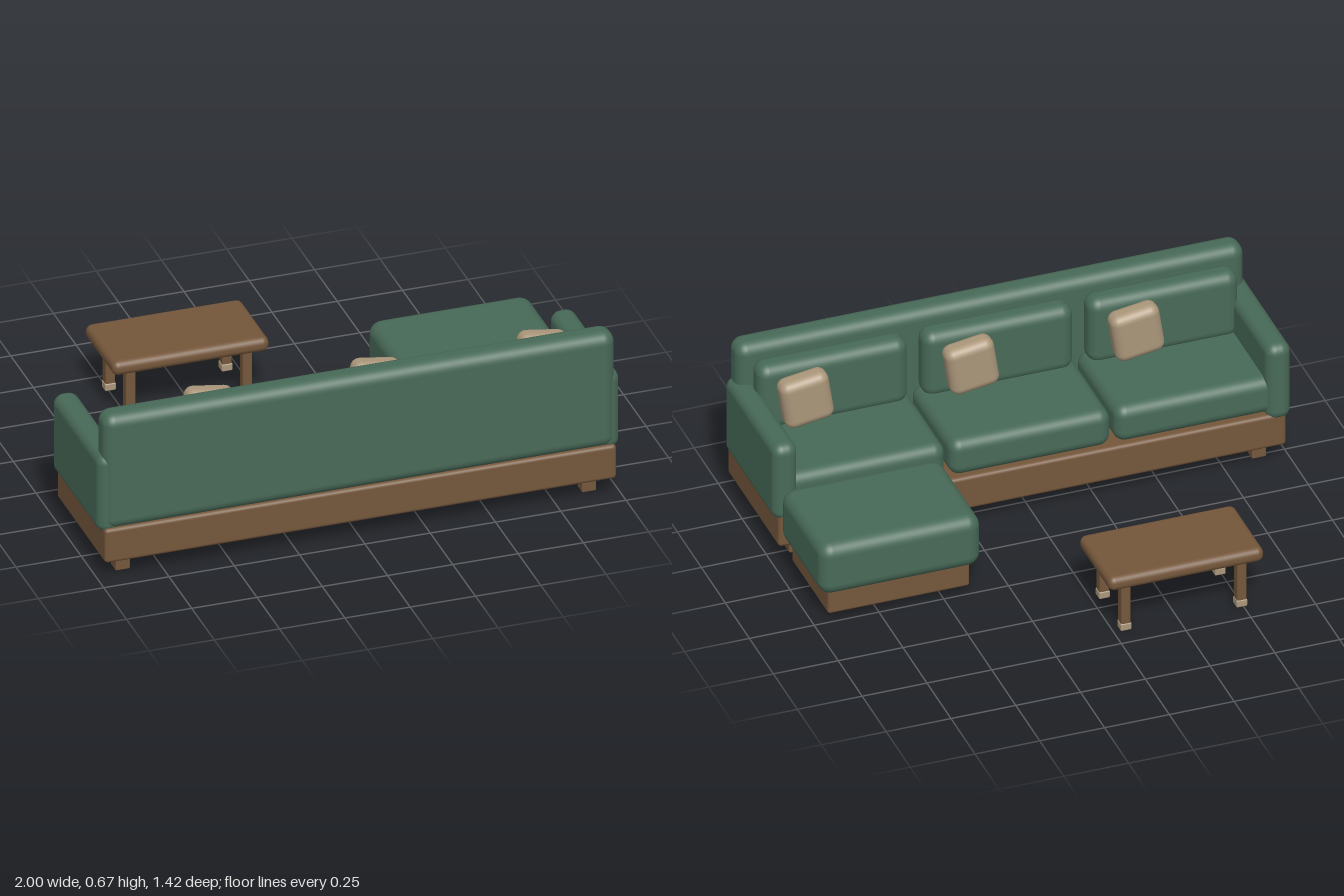
import * as THREE from 'three';
import { RoundedBoxGeometry } from 'three/addons/geometries/RoundedBoxGeometry.js';

const material = (name, color) => {
  const m = new THREE.MeshStandardMaterial({ color });
  m.name = name;
  return m;
};

export function createModel() {
  const green = material('green fabric', 0x486a58);
  const wood = material('brown wood', 0x75573b);
  const tan = material('tan fabric', 0xab977b);

  // Rounded block given by its extents on each axis
  const block = (parent, name, mat, [x0, x1], [y0, y1], [z0, z1], radius) => {
    const geo = new RoundedBoxGeometry(x1 - x0, y1 - y0, z1 - z0, 4, radius);
    const mesh = new THREE.Mesh(geo, mat);
    mesh.name = name;
    mesh.position.set((x0 + x1) / 2, (y0 + y1) / 2, (z0 + z1) / 2);
    parent.add(mesh);
    return mesh;
  };
  const around = (c, size) => [c - size / 2, c + size / 2];
  const group = (name) => {
    const g = new THREE.Group();
    g.name = name;
    return g;
  };

  // Sofa frame, backrest, arms and feet
  const sofa = group('sofa');
  block(sofa, 'sofaBase', wood, [-0.98, 0.98], [0.07, 0.21], [0.172, 0.708], 0.015);
  block(sofa, 'backrest', green, [-0.98, 0.98], [0.2, 0.67], [0.597, 0.708], 0.045);
  for (const side of [-1, 1]) {
    block(sofa, 'arm', green, around(side * 0.952, 0.096), [0.183, 0.505], [0.163, 0.697], 0.04);
    for (const z of [0.25, 0.625])
      block(sofa, 'sofaFoot', wood, around(side * 0.893, 0.056), [0.003, 0.08], around(z, 0.056), 0.006);
  }

  // Three seats, each with a back cushion and a tilted pillow
  for (const i of [-1, 0, 1]) {
    const x = i * 0.638;
    block(sofa, 'seatCushion', green, around(x, 0.622), [0.208, 0.36], [0.18, 0.62], 0.045);
    block(sofa, 'backCushion', green, around(x, 0.58), [0.34, 0.615], [0.51, 0.615], 0.045);
    const pillow = block(sofa, 'pillow', tan, around(x + 0.13, 0.19), around(0.491, 0.2), [0.425, 0.513], 0.035);
    pillow.rotation.z = -0.15;
  }

  // Ottoman
  const ottoman = group('ottoman');
  block(ottoman, 'ottomanBase', wood, [0.395, 0.943], [0.027, 0.14], [-0.242, 0.14], 0.012);
  block(ottoman, 'ottomanCushion', green, [0.358, 0.98], [0.12, 0.335], [-0.275, 0.168], 0.05);

  // Coffee table with tipped legs
  const table = group('coffeeTable');
  block(table, 'tableTop', wood, [-0.57, 0.03], [0.197, 0.255], [-0.71, -0.382], 0.026);
  for (const x of [-0.494, -0.047])
    for (const z of [-0.43, -0.655]) {
      block(table, 'tableLeg', wood, around(x, 0.037), [0.02, 0.21], around(z, 0.037), 0.005);
      block(table, 'legTip', tan, around(x, 0.042), [0, 0.03], around(z, 0.042), 0.005);
    }

  const model = group('livingRoomSet');
  model.add(sofa, ottoman, table);
  return model;
}
